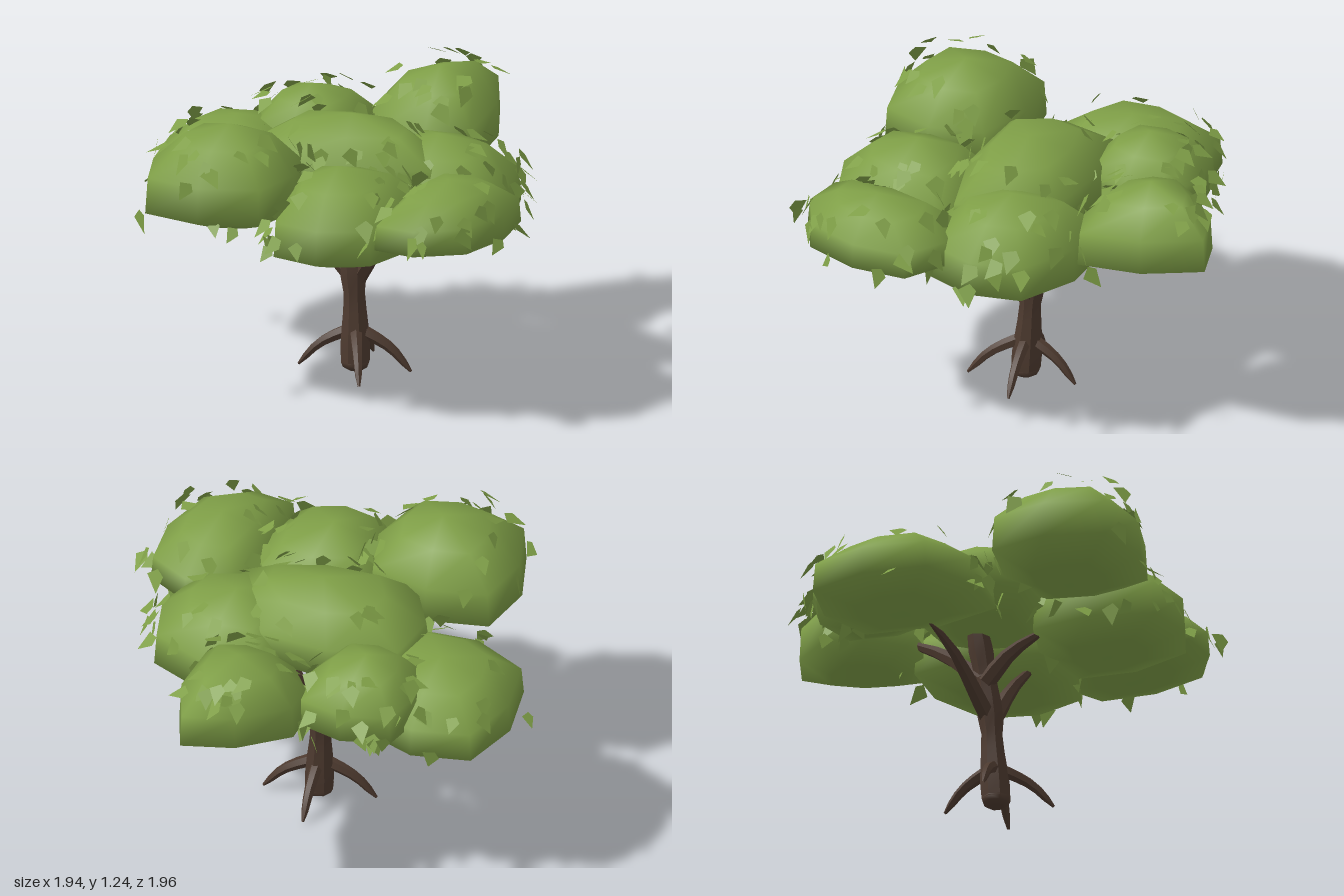
import * as THREE from 'three';
import { mergeGeometries, toCreasedNormals } from 'three/addons/utils/BufferGeometryUtils.js';

const bark = new THREE.MeshStandardMaterial({ color: 0x4d3a2f });
bark.name = 'bark brown';
const foliage = new THREE.MeshStandardMaterial({ color: 0x7f9f47, side: THREE.DoubleSide });
foliage.name = 'foliage green';

let seed = 7;
function rand() {
  seed = (seed * 16807) % 2147483647;
  return seed / 2147483647;
}

// Tapered limb along a curve; the radii belong to even steps of its length
function limb(name, points, radii, sides = 6) {
  const curve = new THREE.CatmullRomCurve3(points.map(p => new THREE.Vector3(...p)));
  const segments = radii.length - 1;
  const geo = new THREE.TubeGeometry(curve, segments, 1, sides);
  const pos = geo.attributes.position;
  const v = new THREE.Vector3();
  for (let n = 0; n < pos.count; n++) {
    const i = Math.floor(n / (sides + 1));
    const centre = curve.getPointAt(i / segments);
    v.fromBufferAttribute(pos, n).sub(centre).multiplyScalar(radii[i]).add(centre);
    pos.setXYZ(n, v.x, Math.max(v.y, 0), v.z);
  }
  const mesh = new THREE.Mesh(toCreasedNormals(geo, 0.6), bark);
  mesh.name = name;
  return mesh;
}

// Width and height fraction of each ring, from underside to crown
const PROFILE = [[0, 0], [0.5, 0.05], [1, 0.2], [0.97, 0.56], [0.58, 0.85], [0, 1]];
const SIDES = 8;

// A point on a clump: ring u (may be fractional) and fraction t around the outline
function clumpPoint(c, u, t) {
  const i = Math.min(Math.floor(u), PROFILE.length - 2);
  const s = THREE.MathUtils.lerp(PROFILE[i][0], PROFILE[i + 1][0], u - i);
  const h = THREE.MathUtils.lerp(PROFILE[i][1], PROFILE[i + 1][1], u - i);
  const p = c.outline.getPoint(t);
  const dx = (p.x - c.x) * s, dz = (p.z - c.z) * s;
  return new THREE.Vector3(c.x + dx, c.low + (c.high - c.low) * h + c.tilt * dz, c.z + dz);
}

// Smooth foliage clump with shared pole vertices
function clump(c) {
  const last = PROFILE.length - 1;
  const verts = [], index = [];
  const id = (i, j) => i === 0 ? 0 : 1 + (i - 1) * SIDES + (i === last ? 0 : j % SIDES);
  for (let i = 0; i <= last; i++) {
    const count = i === 0 || i === last ? 1 : SIDES;
    for (let j = 0; j < count; j++) verts.push(...clumpPoint(c, i, j / SIDES).toArray());
  }
  for (let i = 0; i < last; i++) {
    for (let j = 0; j < SIDES; j++) {
      const a = id(i, j), b = id(i, j + 1), d = id(i + 1, j), e = id(i + 1, j + 1);
      if (a !== b) index.push(a, d, b);
      if (d !== e) index.push(b, d, e);
    }
  }
  const geo = new THREE.BufferGeometry();
  geo.setAttribute('position', new THREE.Float32BufferAttribute(verts, 3));
  geo.setIndex(index);
  geo.computeVertexNormals();
  const mesh = new THREE.Mesh(geo, foliage);
  mesh.name = c.name + 'Clump';
  return mesh;
}

// Loose four-sided leaves scattered over a clump, their tips hanging down
function leaves(c, count) {
  const kite = new THREE.Shape([[0, -0.045], [0.032, 0.008], [0.014, 0.034], [-0.028, 0.02]]
    .map(p => new THREE.Vector2(...p)));
  const centre = new THREE.Vector3(c.x, (c.low + c.high) / 2, c.z);
  const holder = new THREE.Object3D(), parts = [];
  for (let k = 0; k < count; k++) {
    const p = clumpPoint(c, 1.8 + rand() * 2.4, rand());
    const out = p.clone().sub(centre).normalize();
    p.addScaledVector(out, rand() * 0.07);
    const jitter = new THREE.Vector3(rand() - 0.5, rand() * 1.2 - 0.1, rand() - 0.5);
    const turn = (rand() - 0.5) * 1.2, size = 0.95 + rand() * 0.45;
    if (Math.abs(p.x) > 0.95 || Math.abs(p.z) > 0.95) continue;
    holder.position.copy(p);
    holder.lookAt(p.clone().add(out).add(jitter));
    holder.rotateZ(turn);
    holder.scale.setScalar(size);
    holder.updateMatrix();
    parts.push(new THREE.ShapeGeometry(kite).applyMatrix4(holder.matrix));
  }
  const mesh = new THREE.Mesh(mergeGeometries(parts), foliage);
  mesh.name = c.name + 'Leaves';
  return mesh;
}

// A clump peaks at (x, z), lies between low and high, and bulges through four [x, z] corners
function addFoliage(tree, name, [x, z, low, high], corners, tilt = 0) {
  const outline = new THREE.CatmullRomCurve3(
    corners.map(p => new THREE.Vector3(p[0], 0, p[1])), true, 'catmullrom');
  const c = { name, x, z, low, high, outline, tilt };
  tree.add(clump(c), leaves(c, 30));
}

export function createModel() {
  const tree = new THREE.Group();
  tree.name = 'tree';

  // Trunk with a rounded foot, leaning slightly as it rises
  tree.add(limb('trunk', [[0.038, 0.04, 0.03], [0.03, 0.25, 0.02], [0.018, 0.45, 0.012], [-0.025, 0.8, -0.02]],
    [0.064, 0.066, 0.06, 0.052, 0.047, 0.058, 0.056, 0.05, 0.05, 0.056, 0.05], 8));
  const foot = new THREE.Mesh(new THREE.SphereGeometry(0.065, 8, 6), bark);
  foot.name = 'trunkFoot';
  foot.scale.y = 0.68;
  foot.position.set(0.038, 0.044, 0.03);
  tree.add(foot);

  // Branches reaching into the foliage
  const branchRadii = [0.04, 0.038, 0.033, 0.026, 0.018, 0];
  tree.add(
    limb('rightBranch', [[0.03, 0.4, 0.01], [-0.27, 0.65, -0.02], [-0.45, 0.71, -0.04]], branchRadii),
    limb('leftBranch', [[0.03, 0.4, 0.01], [0.18, 0.63, 0.04], [0.3, 0.78, 0.1]], branchRadii),
    limb('backBranch', [[-0.02, 0.58, 0], [0.03, 0.76, -0.2], [0.08, 0.92, -0.47]], branchRadii),
    limb('frontBranch', [[-0.02, 0.57, 0.01], [-0.01, 0.69, 0.13], [0.02, 0.78, 0.3]], branchRadii));

  // Arched roots spreading to the ground
  for (const [x, z] of [[0.27, -0.04], [0.17, 0.24], [-0.2, 0.1], [0, -0.2]]) {
    const at = (f, y) => [0.035 + (x - 0.035) * f, y, 0.025 + (z - 0.025) * f];
    tree.add(limb('root', [at(0, 0.19), at(0.3, 0.16), at(0.65, 0.108), at(1, 0.012)],
      [0.027, 0.028, 0.026, 0.023, 0.02, 0.016, 0.006]));
  }

  // Foliage
  addFoliage(tree, 'back', [0.08, -0.65, 0.77, 1.18],
    [[0.18, -1], [0.34, -0.45], [-0.05, -0.36], [-0.2, -0.68]], -0.12);
  addFoliage(tree, 'backRight', [-0.37, -0.33, 0.77, 1.12],
    [[-0.58, -0.52], [-0.17, -0.57], [-0.16, -0.15], [-0.54, -0.12]]);
  addFoliage(tree, 'right', [-0.6, -0.08, 0.67, 1.02],
    [[-0.88, -0.35], [-0.38, -0.37], [-0.34, 0.24], [-0.86, 0.19]]);
  addFoliage(tree, 'centre', [0.02, 0.03, 0.78, 1.16],
    [[-0.42, -0.12], [0.2, -0.26], [0.46, 0.12], [-0.28, 0.35]]);
  addFoliage(tree, 'backLeft', [0.36, -0.12, 0.67, 1.08],
    [[0.09, -0.4], [0.63, -0.36], [0.67, 0.09], [0.18, 0.2]]);
  addFoliage(tree, 'frontRight', [-0.28, 0.57, 0.79, 1.23],
    [[-0.6, 0.37], [-0.06, 0.32], [-0.01, 0.8], [-0.52, 0.88]]);
  addFoliage(tree, 'front', [0.2, 0.48, 0.67, 1.09],
    [[-0.05, 0.26], [0.48, 0.18], [0.48, 0.71], [0.06, 0.8]]);
  addFoliage(tree, 'left', [0.67, 0.36, 0.77, 1.07],
    [[0.47, 0.06], [0.87, 0.08], [0.87, 0.57], [0.5, 0.71]]);
  return tree;
}
